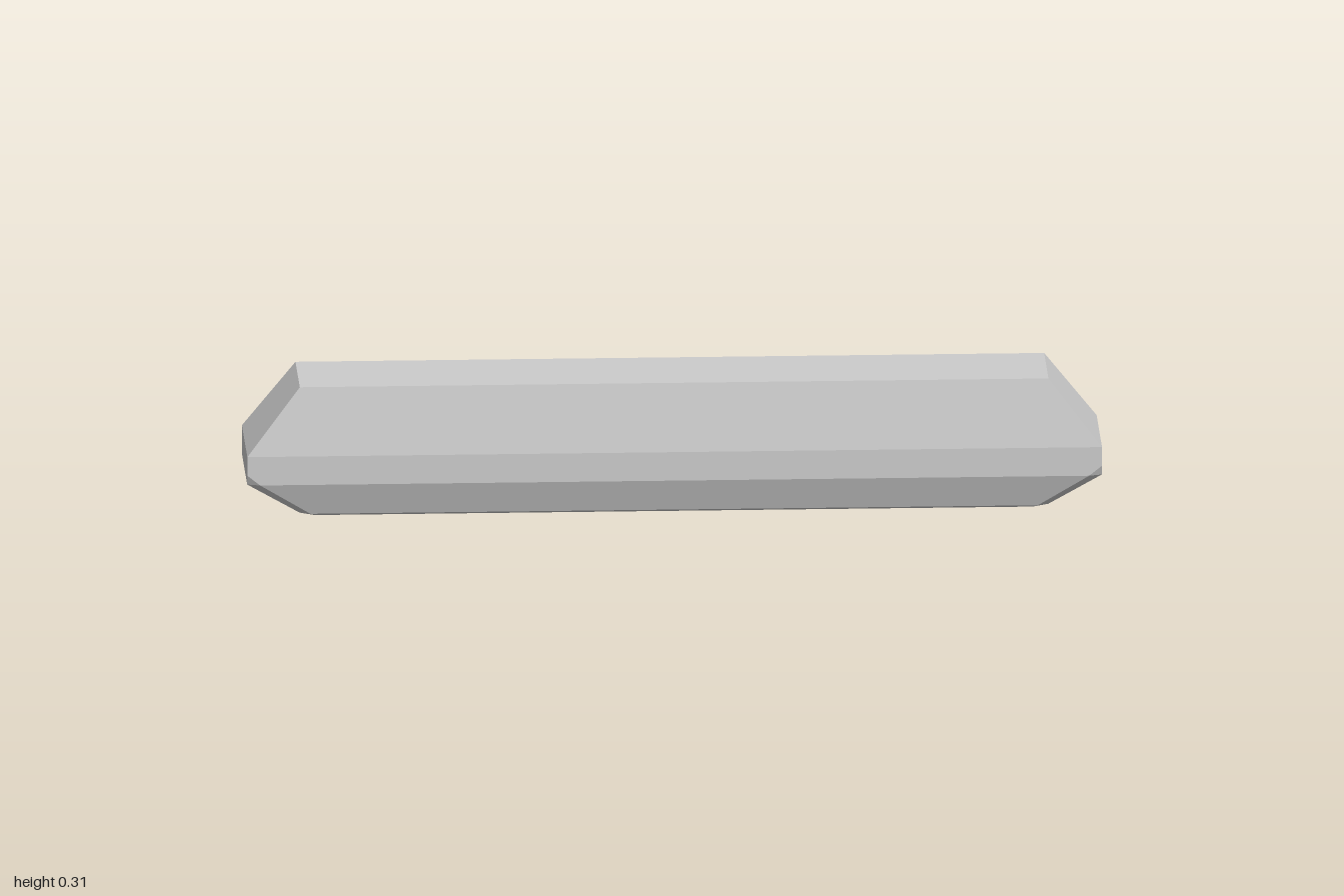
import * as THREE from 'three';

// Rectangle with chamfered corners at height y, counter-clockwise seen from above
function loop([y, x, z, cx, cz]) {
  const a = x - cx, b = z - cz;
  return [[x, -b], [a, -z], [-a, -z], [-x, -b], [-x, b], [-a, z], [a, z], [x, b]]
    .map(([px, pz]) => new THREE.Vector3(px, y, pz));
}

// Skin between stacked loops, closed at both ends
function loft(levels) {
  const loops = levels.map(loop);
  const positions = [];
  const tri = (a, b, c) => {
    const area = b.clone().sub(a).cross(c.clone().sub(a)).length();
    if (area > 1e-9) for (const p of [a, b, c]) positions.push(p.x, p.y, p.z);
  };
  for (let k = 0; k < loops.length - 1; k++) {
    const low = loops[k], high = loops[k + 1];
    for (let i = 0; i < 8; i++) {
      const j = (i + 1) % 8;
      tri(low[i], low[j], high[j]);
      tri(low[i], high[j], high[i]);
    }
  }
  const bottom = loops[0], top = loops[loops.length - 1];
  for (let i = 1; i < 7; i++) {
    tri(bottom[0], bottom[i + 1], bottom[i]);
    tri(top[0], top[i], top[i + 1]);
  }
  const geometry = new THREE.BufferGeometry();
  geometry.setAttribute('position', new THREE.Float32BufferAttribute(positions, 3));
  geometry.computeVertexNormals();
  return geometry;
}

export function createModel() {
  const group = new THREE.Group();
  group.name = 'bevelledBar';

  // Each level: height, half length, half depth, corner chamfer along x and z
  const body = new THREE.Mesh(
    loft([
      [0, 0.855, 0.095, 0.015, 0.01],
      [0.008, 0.876, 0.113, 0.025, 0.012],
      [0.086, 1, 0.142, 0.03, 0.01],
      [0.11, 1, 0.142, 0, 0],
      [0.155, 1, 0.142, 0, 0],
      [0.315, 0.876, 0.113, 0, 0],
    ]),
    new THREE.MeshStandardMaterial({ color: 0xcccccc, flatShading: true })
  );
  body.name = 'barBody';
  group.add(body);
  return group;
}
